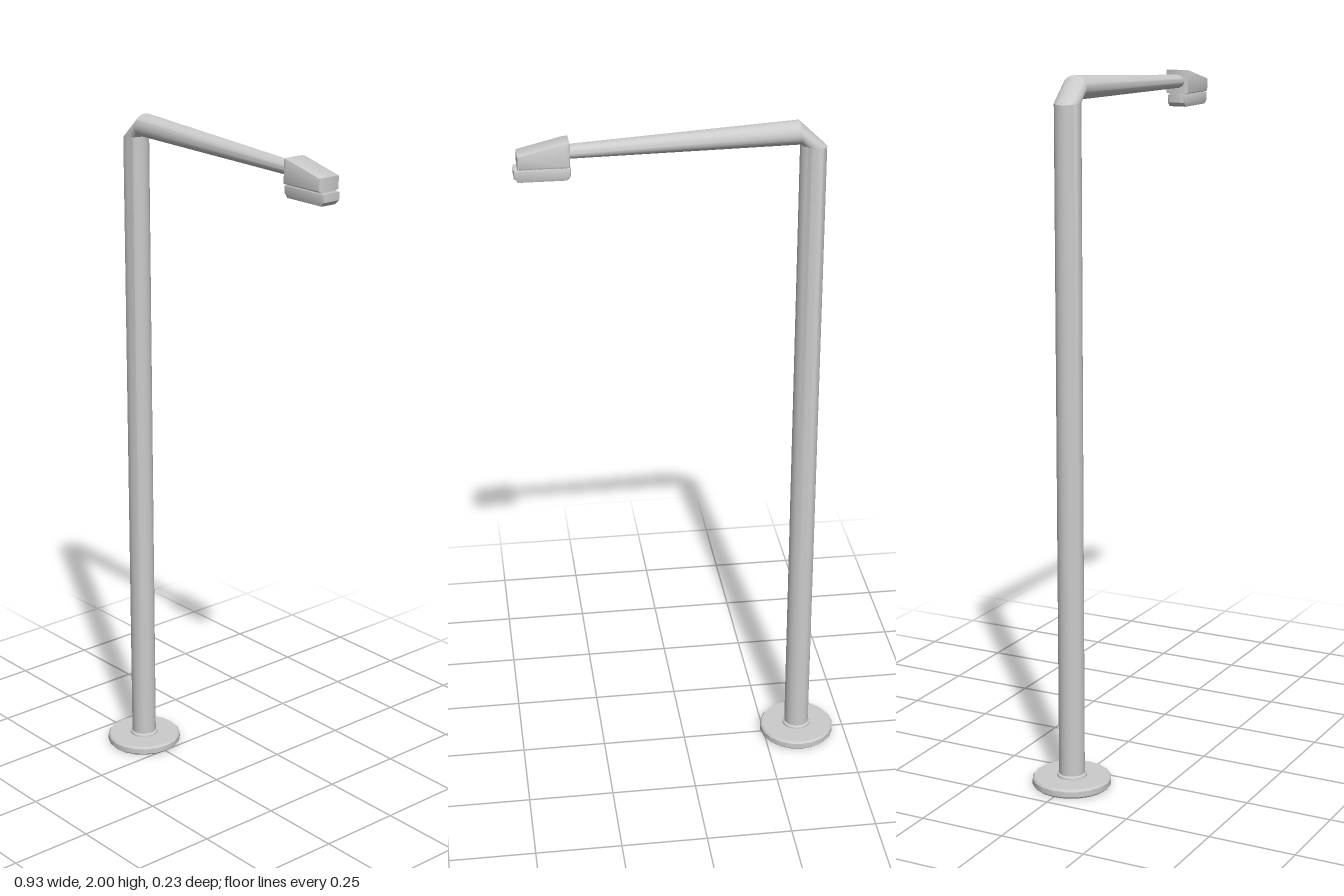
import * as THREE from 'three';
import { toCreasedNormals } from 'three/addons/utils/BufferGeometryUtils.js';

const SIDES = 20;
const POLE_X = -0.353;

// Tube skinned over elliptical rings: [centre x, centre y, in-plane axis x, in-plane axis y, z radius]
function loft(rings) {
  const pos = [], index = [];
  rings.forEach(([cx, cy, ux, uy, rz], r) => {
    for (let i = 0; i < SIDES; i++) {
      const t = (i / SIDES) * Math.PI * 2, c = Math.cos(t);
      pos.push(cx + ux * c, cy + uy * c, rz * Math.sin(t));
      if (r === 0) continue;
      const a = (r - 1) * SIDES + i, b = (r - 1) * SIDES + ((i + 1) % SIDES);
      index.push(a, b, a + SIDES, b, b + SIDES, a + SIDES);
    }
  });
  const g = new THREE.BufferGeometry();
  g.setAttribute('position', new THREE.Float32BufferAttribute(pos, 3));
  g.setIndex(index);
  return g;
}

// Side profile extruded symmetrically across z with bevelled edges
function slab(points, halfWidth, bevel) {
  const shape = new THREE.Shape(points.map(([x, y]) => new THREE.Vector2(x, y)));
  const depth = 2 * (halfWidth - bevel);
  const g = new THREE.ExtrudeGeometry(shape, {
    depth, bevelEnabled: true, bevelSize: bevel, bevelOffset: -bevel,
    bevelThickness: bevel, bevelSegments: 2,
  });
  return g.translate(0, 0, -depth / 2);
}

export function createModel() {
  const group = new THREE.Group();
  const material = new THREE.MeshStandardMaterial({ color: 0xcccccc });
  const add = (name, geometry, crease = 0.5) => {
    const mesh = new THREE.Mesh(toCreasedNormals(geometry, crease), material);
    mesh.name = name;
    group.add(mesh);
    return mesh;
  };

  // Round foot plate with bevelled rim and a small collar around the pole
  const profile = [[0, 0], [0.108, 0], [0.113, 0.005], [0.113, 0.021], [0.108, 0.027],
    [0.043, 0.027], [0.042, 0.033], [0.037, 0.036]];
  add('basePlate', new THREE.LatheGeometry(
    profile.map(([x, y]) => new THREE.Vector2(x, y)), SIDES)).position.x = POLE_X;

  // Pole, bevelled elbow and tapering arm as one continuous tube
  add('poleAndArm', loft([
    [POLE_X, 0.02, -0.037, 0, 0.037],
    [POLE_X, 1.93, -0.037, -0.004, 0.037],
    [-0.314, 1.967, 0.002, 0.033, 0.037],
    [0.32, 1.943, 0, 0.019, 0.024],
  ]));

  // Lamp head: wedge-shaped housing
  add('lampHousing', slab(
    [[0.31, 1.908], [0.45, 1.908], [0.45, 1.945], [0.323, 1.976], [0.31, 1.976]], 0.035, 0.004));

  // Recessed joint between housing and lens
  const joint = new THREE.BoxGeometry(0.132, 0.014, 0.052);
  add('lampJoint', joint).position.set(0.381, 1.906, 0);

  // Lens with chamfered lower edge
  add('lampLens', slab(
    [[0.307, 1.882], [0.318, 1.87], [0.448, 1.87], [0.46, 1.882], [0.46, 1.905], [0.307, 1.905]],
    0.029, 0.005), 0.7);

  return group;
}
